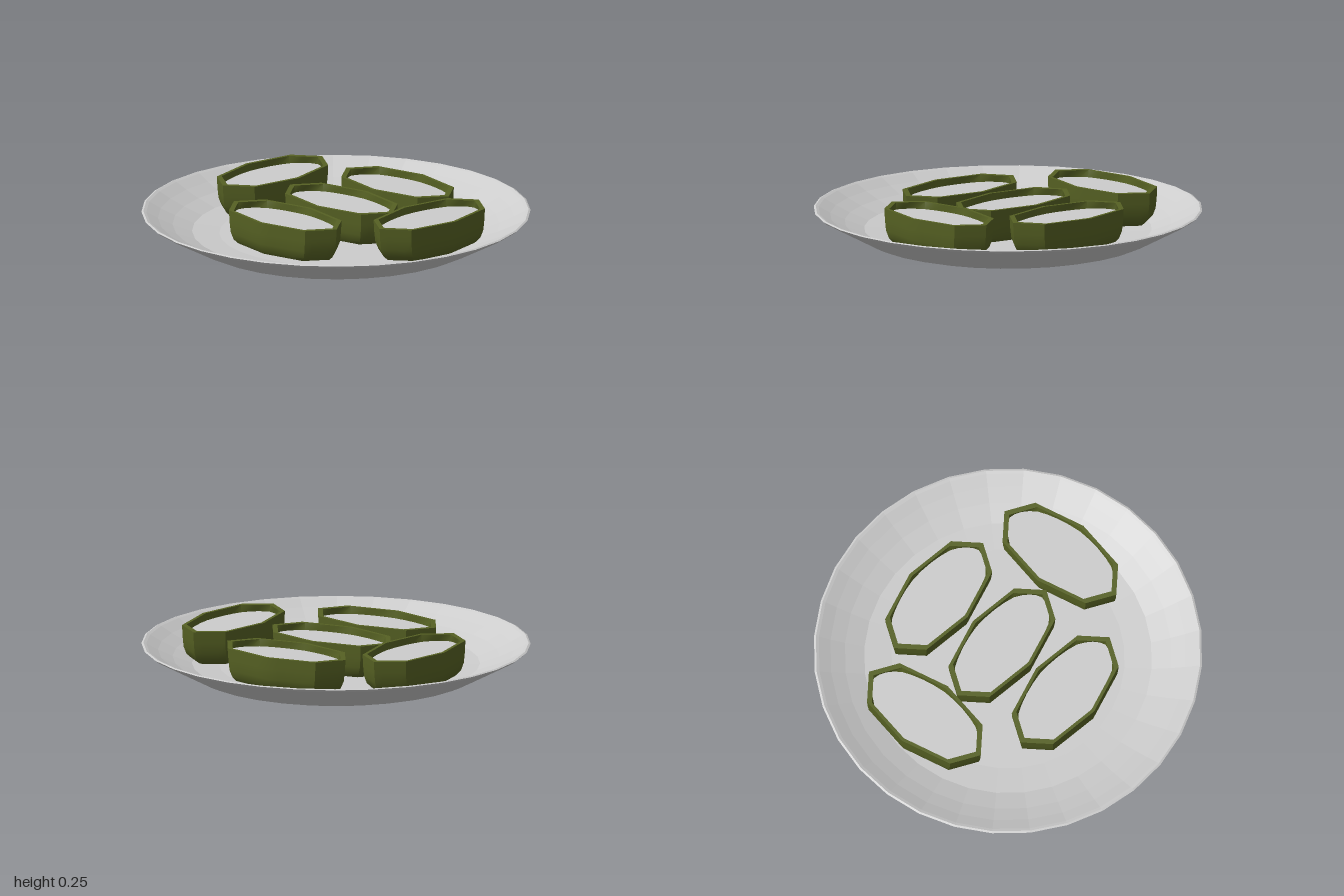
import * as THREE from 'three';
import { toCreasedNormals } from 'three/addons/utils/BufferGeometryUtils.js';

const STEPS = 4; // points per octagon edge
const CORNERS = [[0.367, 0], [0.272, 0.135], [0, 0.19], [-0.272, 0.135],
  [-0.367, 0], [-0.272, -0.135], [0, -0.19], [0.272, -0.135]];

// Stretched octagon, offset inward by scaling; round = 1 turns it into a soft oval
function ring(y, sx, sz, round = 0) {
  const points = [];
  CORNERS.forEach(([x0, z0], i) => {
    const [x1, z1] = CORNERS[(i + 1) % CORNERS.length];
    for (let s = 0; s < STEPS; s++) {
      const k = s / STEPS;
      const x = x0 + (x1 - x0) * k, z = z0 + (z1 - z0) * k;
      const t = Math.atan2(z / 0.19, x / 0.367);
      const ox = 0.36 * Math.cos(t), oz = 0.187 * Math.sin(t);
      points.push([(x + (ox - x) * round) * sx, y, (z + (oz - z) * round) * sz]);
    }
  });
  return points;
}

// Skin a list of equal rings
function loft(rings) {
  const n = rings[0].length, index = [];
  for (let r = 0; r < rings.length - 1; r++) {
    for (let i = 0; i < n; i++) {
      const a = r * n + i, b = r * n + (i + 1) % n;
      index.push(a, a + n, b, b, a + n, b + n);
    }
  }
  const geometry = new THREE.BufferGeometry();
  geometry.setAttribute('position', new THREE.Float32BufferAttribute(rings.flat(2), 3));
  geometry.setIndex(index);
  return toCreasedNormals(geometry, 0.65);
}

export function createModel() {
  const model = new THREE.Group();
  const white = new THREE.MeshStandardMaterial({ color: 0xcccccc, flatShading: true });
  white.name = 'white';
  const green = new THREE.MeshStandardMaterial({ color: 0x566123 });
  green.name = 'olive green';

  // Plate: underside, sloping wall, rim, then the inside
  const profile = [[0, 0.005], [0.64, 0.005], [0.66, 0], [0.72, 0.016], [0.76, 0.034],
    [0.985, 0.155], [1, 0.168], [0.99, 0.172], [0.975, 0.166], [0.915, 0.134],
    [0.84, 0.1], [0.74, 0.064], [0.6, 0.052], [0, 0.052]];
  const plate = new THREE.Mesh(
    new THREE.LatheGeometry(profile.map(([r, y]) => new THREE.Vector2(r, y)), 32), white);
  plate.name = 'plate';
  model.add(plate);

  // Wrapper: rounded underside, upright wall, rim and recessed inner wall
  const top = 0.19, recess = 0.036;
  const wrapperGeometry = loft([
    ring(0, 0, 0), ring(0, 0.72, 0.66), ring(0.012, 0.84, 0.8), ring(0.036, 0.92, 0.91),
    ring(0.075, 0.97, 0.97), ring(0.13, 0.99, 0.99), ring(top, 1, 1),
    ring(top, 0.915, 0.91), ring(top - recess, 0.92, 0.88, 0.8),
  ]);
  const fillingGeometry = loft([
    ring(top - recess, 0.92, 0.88, 0.8), ring(top - recess, 0, 0),
  ]);

  // x, z, height of the top, turned lengthwise
  const rolls = [
    [0.105, -0.555, 0.245, false], [0.105, 0.565, 0.245, false],
    [-0.375, 0, 0.225, true], [0.04, 0, 0.225, true], [0.455, 0, 0.225, true],
  ];
  for (const [x, z, height, turned] of rolls) {
    const roll = new THREE.Group();
    roll.name = 'roll';
    const wrapper = new THREE.Mesh(wrapperGeometry, green);
    wrapper.name = 'wrapper';
    const filling = new THREE.Mesh(fillingGeometry, white);
    filling.name = 'filling';
    roll.add(wrapper, filling);
    roll.position.set(x, height - top, z);
    if (turned) roll.rotation.y = Math.PI / 2;
    model.add(roll);
  }
  return model;
}
